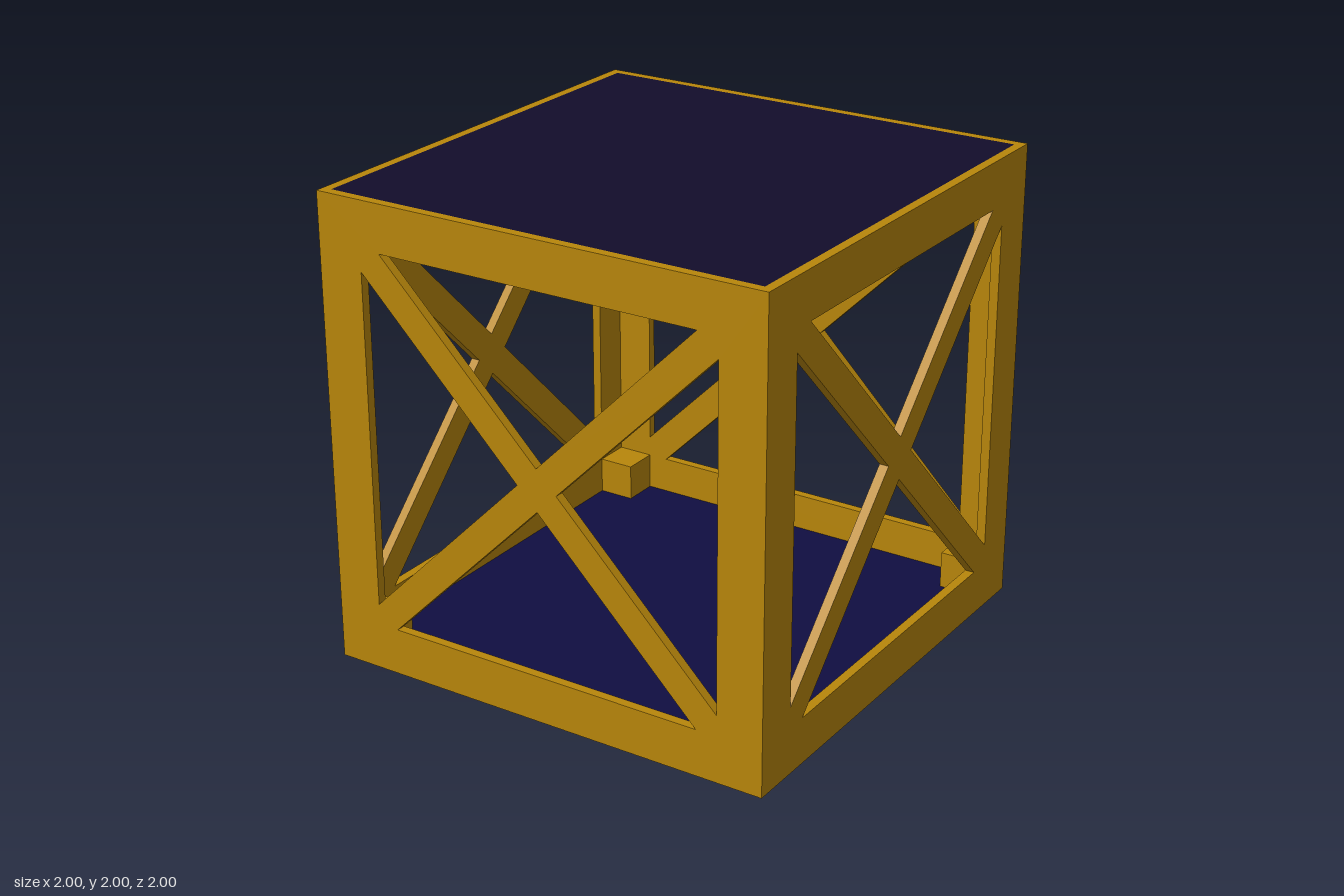
import * as THREE from 'three';

const T = 0.04;      // panel thickness
const INNER = 0.8;   // half size of the frame opening
const BRACE = 0.09;  // half width of a brace, measured along an axis

const gold = new THREE.MeshStandardMaterial({ color: 0xb8860b });
const roofNavy = new THREE.MeshStandardMaterial({ color: 0x120d2b });
const floorNavy = new THREE.MeshStandardMaterial({ color: 0x100e42 });

// Square frame with an X brace, cut as four triangular holes
function latticeGeometry(halfWidth) {
  const shape = new THREE.Shape([
    new THREE.Vector2(-halfWidth, -1), new THREE.Vector2(halfWidth, -1),
    new THREE.Vector2(halfWidth, 1), new THREE.Vector2(-halfWidth, 1),
  ]);
  const centre = new THREE.Vector2();
  for (let i = 0; i < 4; i++) {
    const triangle = [[0, BRACE], [-INNER + BRACE, INNER], [INNER - BRACE, INNER]]
      .map(([x, y]) => new THREE.Vector2(x, y).rotateAround(centre, i * Math.PI / 2));
    shape.holes.push(new THREE.Path(triangle));
  }
  const geometry = new THREE.ExtrudeGeometry(shape, { depth: T, bevelEnabled: false });
  return geometry.translate(0, 1, 1 - T);
}

export function createModel() {
  const model = new THREE.Group();
  model.name = 'bracedCrate';

  function add(name, geometry, material, x = 0, y = 0, z = 0) {
    const mesh = new THREE.Mesh(geometry, material);
    mesh.name = name;
    mesh.position.set(x, y, z);
    model.add(mesh);
    return mesh;
  }

  // Four braced walls; the side walls fit between the front and back
  const wide = latticeGeometry(1);
  const narrow = latticeGeometry(1 - T);
  ['frontWall', 'leftWall', 'backWall', 'rightWall'].forEach((name, i) => {
    add(name, i % 2 ? narrow : wide, gold).rotation.y = i * Math.PI / 2;
  });

  // Roof and floor panels set flush inside the walls
  const panel = new THREE.BoxGeometry(2 - 2 * T, T, 2 - 2 * T);
  add('roofPanel', panel, roofNavy, 0, 2 - T / 2, 0);
  add('floorPanel', panel, floorNavy, 0, T / 2, 0);

  // Corner blocks inside all eight corners
  const size = 1 - T - INNER;
  const offset = INNER + size / 2;
  const block = new THREE.BoxGeometry(size, size, size);
  for (const x of [-1, 1]) for (const y of [-1, 1]) for (const z of [-1, 1]) {
    add('cornerBlock', block, gold, x * offset, 1 + y * offset, z * offset);
  }
  return model;
}
